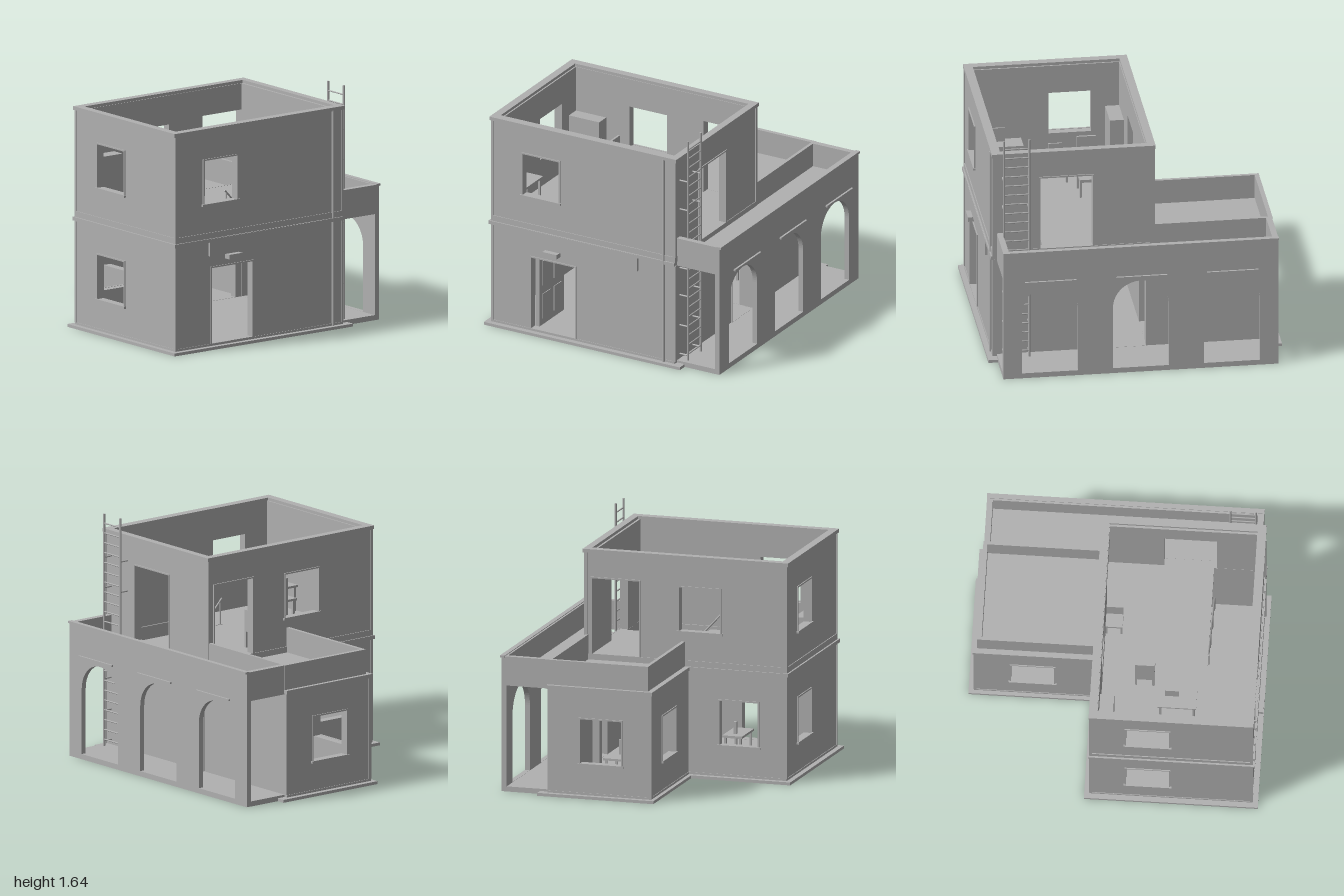
import * as THREE from 'three';

export function createModel() {
  const model = new THREE.Group();
  const plaster = new THREE.MeshStandardMaterial({ name: 'plaster grey', color: 0xb0b0b0 });

  const add = (name, geo) => {
    const m = new THREE.Mesh(geo, plaster);
    m.name = name;
    model.add(m);
    return m;
  };
  // Box given by its limits
  const box = (name, x0, x1, y0, y1, z0, z1) => {
    const m = add(name, new THREE.BoxGeometry(x1 - x0, y1 - y0, z1 - z0));
    m.position.set((x0 + x1) / 2, (y0 + y1) / 2, (z0 + z1) / 2);
    return m;
  };
  // Round bar between two points
  const rod = (name, a, b, r) => {
    const p = new THREE.Vector3(...a), q = new THREE.Vector3(...b);
    const m = add(name, new THREE.CylinderGeometry(r, r, p.distanceTo(q), 8));
    m.position.copy(p).add(q).multiplyScalar(0.5);
    m.quaternion.setFromUnitVectors(new THREE.Vector3(0, 1, 0), q.sub(p).normalize());
    return m;
  };
  const rectPath = (Type, a0, a1, b0, b1) => {
    const p = new Type();
    p.moveTo(a0, b0); p.lineTo(a1, b0); p.lineTo(a1, b1); p.lineTo(a0, b1); p.closePath();
    return p;
  };
  const archPath = (c, r, y0, spring) => {
    const p = new THREE.Path();
    p.moveTo(c - r, y0); p.lineTo(c + r, y0); p.lineTo(c + r, spring);
    p.absarc(c, spring, r, 0, Math.PI, false);
    p.closePath();
    return p;
  };
  // Upright plate with openings; axis 'x' or 'z' is its long direction, d0..d1 its depth
  const wall = (name, axis, a0, a1, y0, y1, d0, d1, holes = []) => {
    const s = rectPath(THREE.Shape, a0, a1, y0, y1);
    s.holes = holes.map(h => (Array.isArray(h) ? rectPath(THREE.Path, ...h) : h));
    const g = new THREE.ExtrudeGeometry(s, { depth: d1 - d0, bevelEnabled: false, curveSegments: 20 });
    if (axis === 'x') g.translate(0, 0, d0);
    else { g.rotateY(-Math.PI / 2); g.translate(d1, 0, 0); }
    return add(name, g);
  };
  // Flat horizontal slab with a rectangular hole
  const slab = (name, x0, x1, y0, y1, z0, z1, hole) => {
    const s = rectPath(THREE.Shape, x0, x1, -z1, -z0);
    if (hole) s.holes.push(rectPath(THREE.Path, hole[0], hole[1], -hole[3], -hole[2]));
    const g = new THREE.ExtrudeGeometry(s, { depth: y1 - y0, bevelEnabled: false });
    g.rotateX(-Math.PI / 2); g.translate(0, y0, 0);
    return add(name, g);
  };
  // Thin surround and sill on the outside face; dir is the outward sign
  const trim = (name, axis, [a0, a1, y0, y1], face, dir, sill = true) => {
    const span = d => (dir > 0 ? [face, face + d] : [face - d, face]);
    const w = 0.01;
    wall(name + 'Frame', axis, a0 - w, a1 + w, y0 - (sill ? w : 0), y1 + w, ...span(0.007),
      [[a0, a1, sill ? y0 : y0 + 0.001, y1]]);
    if (sill) wall(name + 'Sill', axis, a0 - 0.016, a1 + 0.018, y0 - 0.014, y0 + 0.002, ...span(0.015));
  };

  const X0 = -0.14, X1 = 0.95, Z0 = -0.55, Z1 = 0.87, T = 0.05, F = 0.035, U = 0.8;

  // Ground plates and floors
  box('towerBase', -0.18, 0.99, 0, 0.02, -0.61, 0.91);
  box('wingBase', -1, -0.18, 0, 0.02, -0.61, 0.21);
  box('porchFloor', -0.94, 0.925, 0, F, -0.88, Z0);
  box('towerPlinth', X0 - 0.004, X1 + 0.004, 0.02, F, Z0, Z1 + 0.004);
  box('wingPlinth', -0.964, X0, 0.02, F, Z0, 0.184);

  // Openings
  const frontLow = [0.1, 0.39, 0.235, 0.54], frontUp = [0.1, 0.39, 1, 1.3];
  const wingFront = [-0.715, -0.425, 0.235, 0.54], wingSide = [-0.32, -0.03, 0.235, 0.54];
  const leftLow = [0.4, 0.67, 0.235, 0.54], leftUp = [0.115, 0.405, 1, 1.3];
  const rightUp = [0.35, 0.63, 1, 1.3];
  const sideDoor = [0.22, 0.565, F + 0.001, 0.555], backDoor = [-0.085, 0.19, F + 0.001, 0.58];
  const innerDoor = [-0.45, -0.17, F + 0.001, 0.56];
  const terraceDoor = [-0.5, -0.17, U, 1.32], balconyDoor = [0.275, 0.63, U, 1.32];

  // Tower, ground floor
  wall('towerFrontLow', 'x', X0, X1, F, 0.76, Z1 - T, Z1, [frontLow]);
  wall('towerBackLow', 'x', X0, X1, F, 0.76, Z0, Z0 + T, [backDoor]);
  wall('towerRightLow', 'z', Z0 + T, Z1 - T, F, 0.76, X1 - T, X1, [sideDoor]);
  wall('towerLeftLow', 'z', Z0 + T, Z1 - T, F, 0.76, X0, X0 + T, [leftLow, innerDoor]);

  // Tower, upper floor
  wall('towerFrontUp', 'x', X0, X1, 0.76, 1.5, Z1 - T, Z1, [frontUp]);
  wall('towerBackUp', 'x', X0, X1, 0.76, 1.5, Z0, Z0 + T, [balconyDoor]);
  wall('towerRightUp', 'z', Z0 + T, Z1 - T, 0.76, 1.5, X1 - T, X1, [rightUp]);
  wall('towerLeftUp', 'z', Z0 + T, Z1 - T, 0.76, 1.5, X0, X0 + T, [terraceDoor, leftUp]);
  slab('upperFloor', X0 + 0.01, X1 - 0.01, 0.75, U, Z0 + 0.01, Z1 - 0.01, [0.61, 0.89, -0.499, 0.2]);
  slab('towerCap', -0.15, 0.96, 1.495, 1.52, -0.565, 0.885, [-0.095, 0.9, -0.515, 0.83]);
  slab('towerBand', X0 - 0.006, X1 + 0.006, 0.76, U, Z0 - 0.004, Z1 + 0.006, [X0 + 0.01, X1 - 0.01, Z0 + 0.01, Z1 - 0.01]);
  slab('towerCornice', X0 - 0.015, X1 + 0.015, 0.735, 0.76, Z0, Z1 + 0.018, [X0 + 0.01, X1 - 0.01, Z0 + 0.01, Z1 - 0.01]);

  // Corner strips
  for (const [x, z] of [[X0, Z1], [X1, Z1], [X0, Z0], [X1, Z0]]) {
    const sx = x > 0 ? 1 : -1, sz = z > 0 ? 1 : -1;
    const strip = (y0, y1) => {
      const m = box('cornerStrip', -0.01, 0.01, y0, y1, -0.01, 0.01);
      m.position.x = x - sx * 0.004;
      m.position.z = z - sz * 0.004;
    };
    strip(U, 1.495);
    if (sz > 0 || sx > 0) strip(F, 0.735);
  }

  // Wing
  wall('wingFront', 'x', -0.96, X0, F, 0.74, 0.13, 0.18, [wingFront]);
  wall('wingSide', 'z', Z0 + T, 0.13, F, 0.74, -0.96, -0.91, [wingSide]);
  wall('wingBack', 'x', -0.96, X0, F, 0.74, Z0, Z0 + T);
  box('wingRoof', -0.972, X0, 0.735, 0.76, Z0 - 0.005, 0.192);
  box('wingCornerStrip', -0.966, -0.946, F, 0.735, 0.166, 0.186);
  box('wingParapetFront', -0.945, X0, 0.76, 0.93, 0.13, 0.155);
  box('wingParapetSide', -0.945, -0.915, 0.76, 0.93, Z0, 0.13);
  box('wingParapetBack', -0.915, X0, 0.76, 0.93, Z0, Z0 + 0.022);

  // Porch with three arches and open ends
  const arches = [-0.625, -0.008, 0.608];
  wall('porchArcade', 'x', -0.94, 0.925, F, 0.93, -0.88, -0.845, arches.map(c => archPath(c, 0.19, F + 0.001, 0.485)));
  for (const [a, b] of [[-0.94, -0.9], [0.885, 0.925]]) box('porchEndBeam', a, b, 0.73, 0.93, -0.845, Z0);
  slab('porchRoof', -0.9, 0.885, 0.735, 0.765, -0.845, Z0, [0.67, 0.884, -0.74, -0.56]);
  box('porchCap', -0.942, 0.927, 0.92, 0.935, -0.892, -0.858);
  for (const c of arches) box('archBar', c - 0.173, c + 0.175, 0.714, 0.726, -0.922, -0.908);

  // Window and door surrounds
  trim('frontLowWindow', 'x', frontLow, Z1, 1);
  trim('frontUpWindow', 'x', frontUp, Z1, 1);
  trim('wingFrontWindow', 'x', wingFront, 0.18, 1);
  trim('wingSideWindow', 'z', wingSide, -0.96, -1);
  trim('leftLowWindow', 'z', leftLow, X0, -1);
  trim('leftUpWindow', 'z', leftUp, X0, -1);
  trim('rightUpWindow', 'z', rightUp, X1, 1);
  trim('sideDoor', 'z', sideDoor, X1, 1, false);
  trim('backDoor', 'x', backDoor, Z0, -1, false);
  trim('terraceDoor', 'z', terraceDoor, X0, -1, false);
  trim('balconyDoor', 'x', balconyDoor, Z0, -1, false);

  // Open side door leaf, board and lamp above it, downpipe
  box('doorLeaf', 0.57, 0.9, F, 0.55, 0.53, 0.563);
  for (const y of [0.08, 0.32]) for (const x of [0.61, 0.76]) box('doorPanel', x, x + 0.1, y, y + 0.18, 0.525, 0.53);
  box('doorBoard', X1, 0.967, 0.64, 0.757, -0.265, 0.59);
  box('doorLamp', X1, 1, 0.606, 0.638, 0.34, 0.45);
  rod('downpipe', [0.957, 0.02, -0.465], [0.957, 1.5, -0.465], 0.009);

  // Ladder
  for (const x of [0.713, 0.885]) {
    rod('ladderRail', [x, F, -0.613], [x, 1.64, -0.613], 0.008);
    for (const y of [0.07, 0.28, 0.5, 0.7, 1.13, 1.34]) rod('ladderBracket', [x, y, -0.613], [x, y, Z0], 0.006);
  }
  for (let i = 0; i < 23; i++) rod('ladderRung', [0.713, 0.08 + i * 0.068, -0.613], [0.885, 0.08 + i * 0.068, -0.613], 0.005);

  // Stairs rising to the front, with handrail
  const N = 12, run = 0.7 / N, rise = (U - F) / N;
  for (let i = 0; i < N; i++) {
    const top = F + (i + 1) * rise;
    box('stairStep', 0.62, 0.89, Math.max(F, top - 2 * rise), top, -0.499 + i * run, -0.499 + (i + 1) * run);
  }
  rod('stairHandrail', [0.615, 0.26, -0.48], [0.615, 0.98, 0.19], 0.006);
  for (const t of [0.02, 0.35, 0.68, 0.98]) {
    const y = 0.26 + 0.72 * t, z = -0.48 + 0.67 * t;
    rod('stairBaluster', [0.615, y - 0.2, z], [0.615, y, z], 0.005);
  }

  // Furniture
  const legs = (name, x0, x1, y0, y1, z0, z1, w) => {
    for (const x of [x0, x1 - w]) for (const z of [z0, z1 - w]) box(name, x, x + w, y0, y1, z, z + w);
  };
  const table = (x0, x1, z0, z1, floor) => {
    box('tableTop', x0, x1, floor + 0.165, floor + 0.18, z0, z1);
    legs('tableLeg', x0 + 0.01, x1 - 0.01, floor, floor + 0.165, z0 + 0.01, z1 - 0.01, 0.015);
  };
  const chair = (x0, x1, z0, z1, floor, backAtFront, h) => {
    box('chairSeat', x0, x1, floor + 0.11, floor + 0.13, z0, z1);
    legs('chairLeg', x0, x1, floor, floor + 0.11, z0, z1, 0.014);
    const z = backAtFront ? z1 - 0.015 : z0;
    box('chairBack', x0, x1, floor + 0.13, floor + h, z, z + 0.015);
  };
  table(0.295, 0.555, 0.445, 0.58, U);
  box('deskScreen', 0.34, 0.435, 0.98, 1.08, 0.487, 0.497);
  table(0.575, 0.835, 0.69, 0.82, U);
  box('cornerScreen', 0.69, 0.79, 0.98, 1.08, 0.777, 0.787);
  chair(0.13, 0.26, 0.205, 0.365, U, true, 0.385);
  chair(-0.09, 0.025, -0.1, 0.01, U, false, 0.26);
  box('cabinet', -0.09, 0.005, U, 1.18, 0.585, 0.82);
  table(0.22, 0.48, 0.3, 0.44, F);
  box('tableBottle', 0.28, 0.3, 0.215, 0.3, 0.36, 0.38);
  table(-0.68, -0.42, -0.25, -0.1, F);
  box('wingBottle', -0.545, -0.53, 0.215, 0.32, -0.18, -0.165);
  return model;
}
